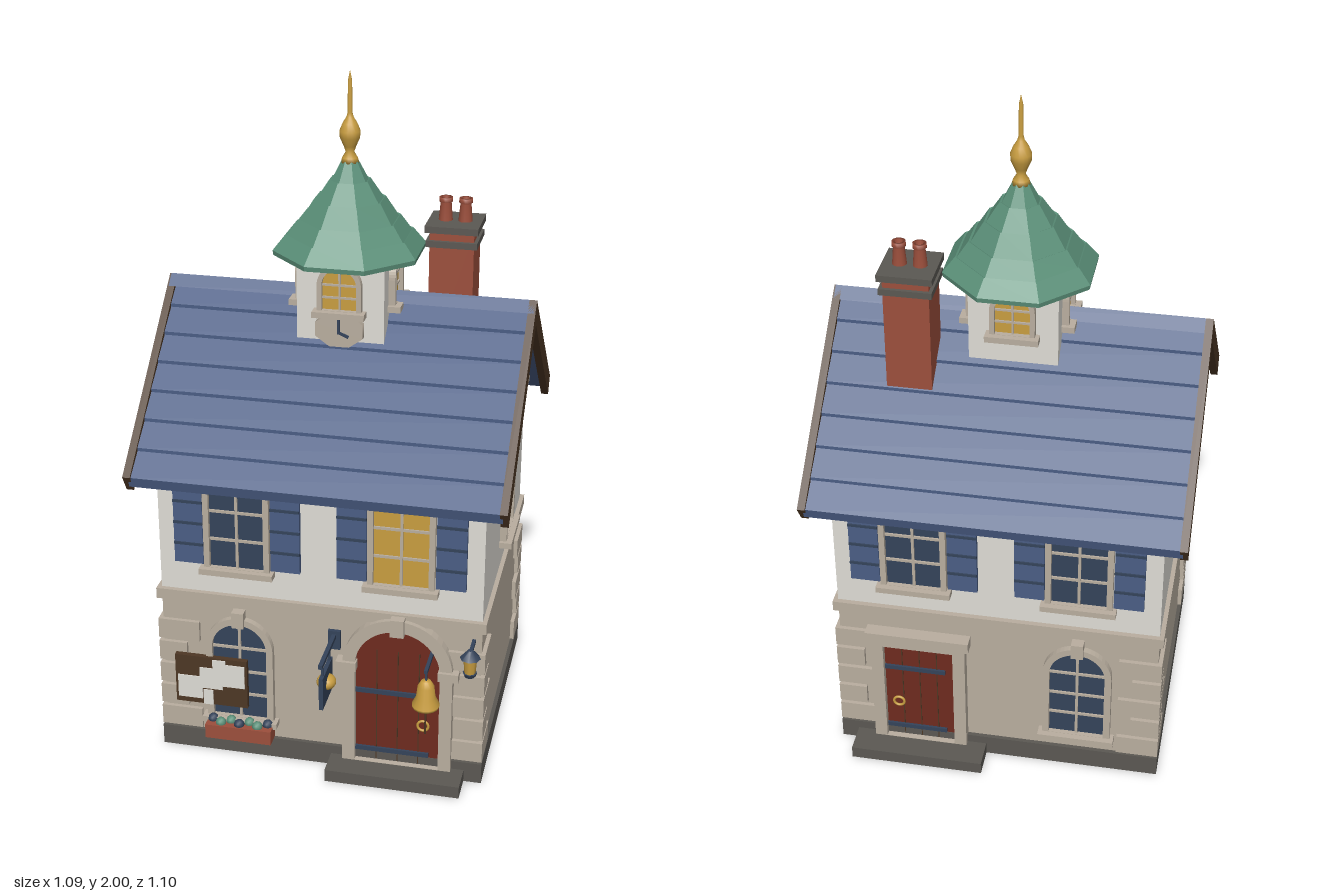
import * as THREE from 'three';

const mat = (name, color) => {
  const m = new THREE.MeshStandardMaterial({ color });
  m.name = name;
  return m;
};

export function createModel() {
  const plaster = mat('plaster', 0xdedcd5), stone = mat('stone', 0xb9ae9f), slate = mat('darkStone', 0x5b5853);
  const blue = mat('slateBlue', 0x4a5d84), brown = mat('timber', 0x4d3724), red = mat('doorRed', 0x6e2a1f);
  const brick = mat('brick', 0x9c4f3c), brass = mat('brass', 0xc89d40), green = mat('copperGreen', 0x5b9079);
  const navy = mat('glassNavy', 0x34435a);

  const model = new THREE.Group();
  const CZ = -0.045, HW = 0.475, HD = 0.405; // house centre in z, half width, half depth
  const FRONT = CZ + HD, BACK = CZ - HD;

  const add = (parent, name, geo, m, x = 0, y = 0, z = 0) => {
    const mesh = new THREE.Mesh(geo, m);
    mesh.name = name;
    mesh.position.set(x, y, z);
    parent.add(mesh);
    return mesh;
  };
  // box given by its extents
  const box = (parent, name, m, x0, x1, y0, y1, z0, z1) => add(parent, name,
    new THREE.BoxGeometry(x1 - x0, y1 - y0, z1 - z0), m, (x0 + x1) / 2, (y0 + y1) / 2, (z0 + z1) / 2);
  const group = (name, x, y, z, ry = 0) => {
    const g = new THREE.Group();
    g.name = name;
    g.position.set(x, y, z);
    g.rotation.y = ry;
    model.add(g);
    return g;
  };
  const extrude = (shape, depth) => new THREE.ExtrudeGeometry(shape, { depth, bevelEnabled: false, curveSegments: 12 });
  const lathe = (pts, seg = 16, start = 0) =>
    new THREE.LatheGeometry(pts.map(p => new THREE.Vector2(...p)), seg, start);
  // profile of [z, y] points swept along x
  const sweepX = (pts, x0, x1) => {
    const g = extrude(new THREE.Shape(pts.map(([z, y]) => new THREE.Vector2(-z, y))), x1 - x0);
    return g.rotateY(Math.PI / 2).translate(x0, 0, 0);
  };
  // opening outline: half width w, straight sides up to h, optional round head
  const opening = (w, y0, h, round) => {
    const s = new THREE.Shape();
    s.moveTo(-w, y0);
    s.lineTo(w, y0);
    s.lineTo(w, h);
    if (round) s.absarc(0, h, w, 0, Math.PI, false);
    else s.lineTo(-w, h);
    s.closePath();
    return s;
  };
  const surround = (w, t, y0, h, round, depth) => {
    const s = opening(w + t, y0, round ? h : h + t, round);
    s.holes.push(opening(w, y0 + 0.001, h, round));
    return extrude(s, depth);
  };

  // window facing local +z, standing on its sill at y = 0
  const makeWindow = (name, x, y, z, ry, w, h, o = {}) => {
    const g = group(name, x, y, z, ry), t = o.trim ?? 0.017, top = o.round ? h + w : h;
    add(g, 'glass', extrude(opening(w, 0, h, o.round), 0.006), o.glass ?? navy);
    add(g, 'windowSurround', surround(w, t, 0, h, o.round, 0.02), stone);
    const b = o.bar ?? 0.004;
    box(g, 'mullion', stone, -b, b, 0, top, 0.002, 0.012);
    for (const f of o.bars ?? [0.33, 0.66]) box(g, 'glazingBar', stone, -w, w, h * f - b, h * f + b, 0.002, 0.011);
    box(g, 'sill', stone, -w - t - 0.012, w + t + 0.012, -0.018, 0, -0.005, 0.037);
    if (o.lintel) box(g, 'lintel', stone, -w - 0.035, w + 0.035, h + 0.012, h + 0.043, 0, 0.026);
    if (o.key) box(g, 'keystone', stone, -0.018, 0.018, top - 0.005, top + 0.045, 0, 0.03);
    if (o.shutters) for (const s of [-1, 1]) {
      const c = s * 0.143;
      box(g, 'shutter', blue, c - 0.043, c + 0.043, 0.005, h, 0, 0.014);
      for (let i = 1; i < 4; i++) box(g, 'shutterRail', navy, c - 0.043, c + 0.043, h * i / 4 - 0.004, h * i / 4 + 0.004, 0.01, 0.018);
    }
    return g;
  };

  // plinth, walls and string course
  box(model, 'plinth', slate, -0.487, 0.487, 0, 0.065, BACK - 0.012, FRONT + 0.012);
  box(model, 'groundFloor', stone, -HW, HW, 0.06, 0.51, BACK, FRONT);
  box(model, 'stringCourse', stone, -0.488, 0.488, 0.507, 0.54, BACK - 0.015, FRONT + 0.015);
  add(model, 'upperWalls', sweepX([[BACK, 0.53], [FRONT, 0.53], [FRONT, 0.96], [CZ, 1.32], [BACK, 0.96]], -HW, HW), plaster);
  for (const s of [-1, 1]) {
    box(model, 'gableBand', stone, s * 0.48 - 0.01, s * 0.48 + 0.01, 0.95, 0.983, BACK, FRONT);
    box(model, 'eavesBand', stone, -HW, HW, 0.905, 0.935, CZ + s * 0.41 - 0.01, CZ + s * 0.41 + 0.01);
  }

  // corner stones, alternately long and short
  for (const sx of [-1, 1]) for (const sz of [-1, 1]) for (let i = 0; i < 5; i++) {
    const l = i % 2 ? 0.085 : 0.125, y = 0.072 + i * 0.075;
    const cx = sx * (0.487 - l / 2), cz = CZ + sz * (HD + 0.012 - l / 2);
    box(model, 'cornerStone', stone, cx - l / 2, cx + l / 2, y, y + 0.064, cz - l / 2, cz + l / 2);
  }

  // roof: stepped slate courses on both slopes
  const top = d => 1.355 - 0.87 * d;
  const slope = [];
  for (let i = 0; i < 7; i++) {
    const a = i * 0.0705, b = a + 0.0705;
    slope.push([a, top(a) - 0.006], [b, top(b) + 0.004]);
  }
  slope.push([0.485, top(0.485) - 0.035]);
  const under = [[CZ, top(0) - 0.045]];
  add(model, 'roofSlates', sweepX([
    ...slope.map(([d, y]) => [CZ + d, y]), ...under,
    ...slope.slice(1).reverse().map(([d, y]) => [CZ - d, y])], -0.53, 0.53), blue);
  const chevron = (d, up, down) => [[CZ - d, top(d) + up], [CZ, top(0) + up], [CZ + d, top(d) + up],
    [CZ + d - 0.032, top(d) - down + 0.022], [CZ, top(0) - down], [CZ - d + 0.032, top(d) - down + 0.022]];
  for (const s of [-1, 1])
    add(model, 'bargeBoard', sweepX(chevron(0.5, 0.012, 0.062), s * 0.533 - 0.011, s * 0.533 + 0.011), brown);
  add(model, 'ridgeCap', sweepX(chevron(0.033, 0.012, 0.02), -0.54, 0.54), blue);

  // upper windows
  for (const x of [-0.24, 0.24]) {
    const o = { shutters: true };
    makeWindow('frontUpperWindow', x, 0.632, FRONT, 0, 0.08, 0.27, { ...o, glass: x > 0 ? brass : navy });
    makeWindow('backUpperWindow', x, 0.632, BACK, Math.PI, 0.08, 0.27, o);
  }
  for (const s of [-1, 1]) {
    makeWindow('gableWindow', s * HW, 0.632, CZ, s * Math.PI / 2, 0.068, 0.245, { lintel: true });
    makeWindow('atticWindow', s * HW, 1.07, CZ, s * Math.PI / 2, 0.055, 0.11, { round: true, bars: [0.45, 1] });
  }
  // arched ground floor windows
  const arched = { round: true, key: true, bars: [0.33, 0.66, 1], trim: 0.02 };
  makeWindow('frontArchedWindow', -0.24, 0.13, FRONT, 0, 0.082, 0.235, arched);
  makeWindow('backArchedWindow', -0.24, 0.13, BACK, Math.PI, 0.082, 0.235, arched);

  // doors, each with step, surround, straps and ring handle
  const makeDoor = (name, z, ry, w, h, round) => {
    const g = group(name, 0.235, 0, z, ry), k = ry ? -1 : 1;
    box(g, 'doorStep', slate, -0.2, 0.2, 0, 0.038, 0, 0.1);
    add(g, 'doorLeaf', extrude(opening(w, 0.038, h, round), 0.01), red);
    add(g, 'doorSurround', surround(w, 0.037, 0.038, h, round, 0.03), stone);
    for (const i of [-1, 0, 1]) box(g, 'plankJoint', brown, i * w / 2 - 0.0015, i * w / 2 + 0.0015, 0.04, h + 0.05 * (round ? 1 : 0), 0.008, 0.012);
    for (const y of [0.075, h - 0.09]) box(g, 'strapHinge', navy, -w, w * 0.75, y - 0.007, y + 0.007, 0.008, 0.017);
    add(g, 'ringHandle', new THREE.TorusGeometry(0.016, 0.004, 8, 16), brass, w * 0.62 * k, 0.18, 0.02);
    if (round) {
      for (const s of [-1, 1]) box(g, 'impost', stone, s * 0.15 - 0.03, s * 0.15 + 0.03, h - 0.015, h + 0.012, 0, 0.04);
      box(g, 'keystone', stone, -0.02, 0.02, h + w - 0.01, h + w + 0.045, 0, 0.042);
    } else box(g, 'lintel', stone, -w - 0.05, w + 0.05, h + 0.02, h + 0.055, 0, 0.04);
  };
  makeDoor('frontDoor', FRONT, 0, 0.125, 0.365, true);
  makeDoor('backDoor', BACK, Math.PI, 0.105, 0.4, false);

  // planter with foliage
  box(model, 'planter', brick, -0.338, -0.137, 0.075, 0.12, FRONT + 0.012, FRONT + 0.065);
  for (let i = 0; i < 7; i++)
    add(model, 'foliage', new THREE.IcosahedronGeometry(0.016, 1), i % 3 ? green : navy, -0.322 + i * 0.028, 0.123, FRONT + 0.038 + (i % 2 ? 0.008 : -0.008));

  // notice board with pinned sheets
  const board = group('noticeBoard', -0.325, 0.25, FRONT + 0.022);
  box(board, 'boardBack', brown, -0.11, 0.11, -0.08, 0.08, -0.01, 0.006);
  for (const [x, y, w, h] of [[-0.065, -0.025, 0.075, 0.075], [0, 0.01, 0.07, 0.07], [0.065, 0.025, 0.075, 0.075], [-0.01, -0.055, 0.03, 0.05], [0.025, 0.055, 0.04, 0.04]])
    box(board, 'paperSheet', plaster, x - w / 2, x + w / 2, y - h / 2, y + h / 2, 0.005, 0.009);

  // hanging sign
  const sign = group('hangingSign', 0.045, 0, 0);
  box(sign, 'signArm', navy, -0.006, 0.006, 0.437, 0.45, FRONT, 0.545);
  box(sign, 'signWallPlate', navy, -0.018, 0.018, 0.4, 0.46, FRONT, FRONT + 0.012);
  box(sign, 'signPanel', navy, -0.006, 0.006, 0.3, 0.402, 0.415, 0.54);
  for (const z of [0.435, 0.52]) box(sign, 'signHanger', navy, -0.003, 0.003, 0.4, 0.44, z - 0.003, z + 0.003);
  add(sign, 'signRoundel', new THREE.SphereGeometry(0.03, 16, 10).scale(0.95, 0.75, 1), brass, 0, 0.352, 0.47);

  // door bell with pull cord
  const bell = group('doorBell', 0.335, 0, 0.475);
  add(bell, 'bellBody', lathe([[0, 0.325], [0.038, 0.312], [0.04, 0.32], [0.028, 0.345], [0.024, 0.38], [0.014, 0.397], [0, 0.4]]), brass);
  add(bell, 'bellCord', new THREE.CylinderGeometry(0.003, 0.003, 0.11, 6), brown, 0, 0.275, 0);
  box(bell, 'bellArm', navy, -0.005, 0.005, 0.425, 0.435, FRONT - 0.475, 0.01);
  box(bell, 'bellHook', navy, -0.003, 0.003, 0.395, 0.43, -0.003, 0.003);

  // wall lantern
  const lamp = group('wallLantern', 0.452, 0, 0.43);
  box(lamp, 'lanternArm', navy, -0.005, 0.005, 0.47, 0.48, FRONT - 0.43, 0);
  add(lamp, 'lanternCap', new THREE.CylinderGeometry(0.008, 0.03, 0.025, 8), navy, 0, 0.473, 0);
  add(lamp, 'lanternGlass', new THREE.CylinderGeometry(0.02, 0.016, 0.05, 8), brass, 0, 0.436, 0);
  add(lamp, 'lanternBase', new THREE.CylinderGeometry(0.021, 0.016, 0.012, 8), navy, 0, 0.407, 0);

  // chimney with two pots
  box(model, 'chimneyStack', brick, 0.217, 0.347, 1.1, 1.525, -0.253, -0.127);
  box(model, 'chimneyBand', slate, 0.207, 0.357, 1.478, 1.497, -0.263, -0.117);
  box(model, 'chimneyCap', slate, 0.204, 0.36, 1.522, 1.542, -0.268, -0.112);
  for (const x of [0.253, 0.311])
    add(model, 'chimneyPot', lathe([[0.021, 1.54], [0.016, 1.595], [0.02, 1.597], [0.02, 1.61], [0.012, 1.61], [0.012, 1.57], [0, 1.57]], 12), brick, x, 0, -0.19);

  // square lantern turret with an arched light on each side
  box(model, 'turretBody', plaster, -0.127, 0.127, 1.2, 1.495, CZ - 0.127, CZ + 0.127);
  for (let i = 0; i < 4; i++) {
    const a = i * Math.PI / 2;
    makeWindow('turretLight', 0.127 * Math.sin(a), 1.342, CZ + 0.127 * Math.cos(a), a, 0.05, 0.075,
      { round: true, glass: brass, bars: [0.5, 1], bar: 0.003, trim: 0.014 });
  }
  const clock = group('turretClock', 0, 1.29, CZ + 0.127);
  add(clock, 'clockFace', new THREE.CylinderGeometry(0.075, 0.075, 0.02, 8).rotateY(Math.PI / 8).rotateX(Math.PI / 2).scale(1, 0.72, 1), stone, 0, -0.005, 0.01);
  box(clock, 'minuteHand', navy, -0.004, 0.004, -0.015, 0.035, 0.019, 0.025);
  const hand = box(clock, 'hourHand', navy, -0.004, 0.03, -0.02, -0.012, 0.019, 0.025);
  hand.rotation.z = -0.4;

  // octagonal tiered turret roof, faceted
  const k = 1 / Math.cos(Math.PI / 8);
  const tiers = [[0, 1.476], [0.205, 1.476], [0.207, 1.49], [0.172, 1.535], [0.168, 1.532], [0.137, 1.578], [0.132, 1.575],
    [0.096, 1.635], [0.091, 1.632], [0.055, 1.69], [0.05, 1.687], [0.022, 1.745], [0, 1.745]];
  const cap = lathe(tiers.map(([r, y]) => [r * k, y]), 8, Math.PI / 8).toNonIndexed();
  cap.computeVertexNormals();
  add(model, 'turretRoof', cap, green, 0, 0, CZ);

  // finial
  add(model, 'finial', lathe([[0, 1.735], [0.026, 1.738], [0.022, 1.752], [0.012, 1.768], [0.018, 1.785], [0.029, 1.81],
    [0.03, 1.828], [0.021, 1.85], [0.01, 1.868], [0.007, 1.88], [0.006, 1.97], [0, 2]]), brass, 0, 0, CZ);

  return model;
}
